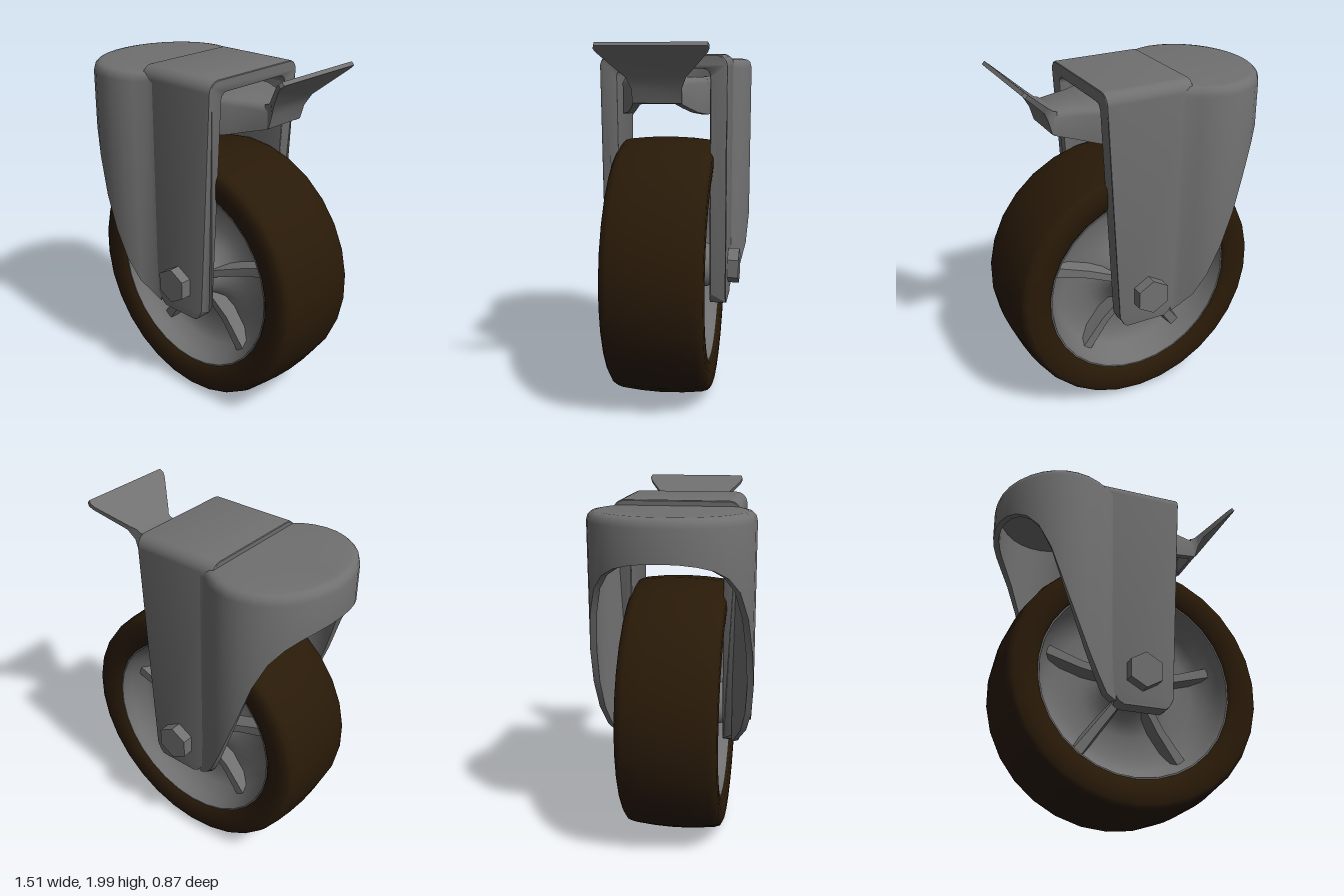
import * as THREE from 'three';
import { toCreasedNormals } from 'three/addons/utils/BufferGeometryUtils.js';

const steel = new THREE.MeshStandardMaterial({ color: 0x707070 });
const steelDouble = new THREE.MeshStandardMaterial({ color: 0x707070, side: THREE.DoubleSide });
const rubber = new THREE.MeshStandardMaterial({ color: 0x291a08 });

const WX = 0.02, WY = 0.745; // wheel centre

function add(parent, name, geometry, material = steel, crease = 0.6) {
  const mesh = new THREE.Mesh(toCreasedNormals(geometry, crease), material);
  mesh.name = name;
  parent.add(mesh);
  return mesh;
}

// Piecewise linear lookup in a list of [input, output] pairs
function lookup(table, v) {
  if (v <= table[0][0]) return table[0][1];
  for (let i = 1; i < table.length; i++) {
    const [a, fa] = table[i - 1], [b, fb] = table[i];
    if (v <= b) return fa + (fb - fa) * (v - a) / (b - a);
  }
  return table[table.length - 1][1];
}

// Skin a row of closed rings, each a list of [x, y, z]
function loft(rings, caps = false) {
  const n = rings[0].length, index = [];
  for (let i = 0; i < rings.length - 1; i++) {
    for (let j = 0; j < n; j++) {
      const a = i * n + j, c = i * n + (j + 1) % n;
      index.push(a, a + n, c + n, a, c + n, c);
    }
  }
  if (caps) {
    const e = (rings.length - 1) * n;
    for (let j = 1; j < n - 1; j++) index.push(0, j, j + 1, e, e + j + 1, e + j);
  }
  const g = new THREE.BufferGeometry();
  g.setAttribute('position', new THREE.Float32BufferAttribute(rings.flat(2), 3));
  g.setIndex(index);
  return g;
}

// Lathe around z from [radius, z] points
function latheZ(points, segments) {
  return new THREE.LatheGeometry(points.map(p => new THREE.Vector2(...p)), segments).rotateX(Math.PI / 2);
}

function makeWheel() {
  const wheel = new THREE.Group();
  wheel.name = 'wheel';
  wheel.position.set(WX, WY, 0);

  // Tyre with a slightly crowned tread
  const half = [[0.548, 0.24], [0.57, 0.262], [0.64, 0.27], [0.69, 0.268], [0.712, 0.255], [0.722, 0.225], [0.733, 0.12]];
  const tyre = [...half.map(([r, z]) => [r, -z]), [0.738, 0], ...half.slice().reverse(), [0.548, -0.24]];
  add(wheel, 'tyre', latheZ(tyre, 30), rubber, 0.9);

  // Dished rim, web and hub in one profile
  const dish = [[0, 0.26], [0.1, 0.26], [0.118, 0.245], [0.14, 0.16], [0.19, 0.1], [0.27, 0.075], [0.4, 0.075], [0.475, 0.105], [0.525, 0.19], [0.545, 0.247], [0.553, 0.247]];
  add(wheel, 'rim', latheZ([...dish.map(([r, z]) => [r, -z]), ...dish.slice().reverse()], 30), steel, 0.7);

  // Five tapered ribs on each face
  for (const side of [1, -1]) {
    for (let k = 0; k < 5; k++) {
      const rings = [[0.1, 0.2, 0.02], [0.3, 0.155, 0.022], [0.525, 0.15, 0.028]].map(([r, z, w]) => [
        [r, w, z], [r, w + 0.018, 0.05], [r, -w - 0.018, 0.05], [r, -w, z],
      ]);
      const rib = add(wheel, 'rib', loft(rings, true), steelDouble, 0.4);
      rib.rotation.set(side > 0 ? 0 : Math.PI, 0, side * (Math.PI / 10 + k * Math.PI * 0.4));
    }
  }
  return wheel;
}

// U-shaped bracket, extruded across x and tapered towards the foot
function makeBracket() {
  const s = new THREE.Shape(), o = 0.342, n = 0.25, top = 1.94, under = 1.865;
  const steps = [0.558, 0.575, 0.62];
  s.moveTo(o, steps[0]);
  for (const y of steps.slice(1)) s.lineTo(o, y);
  s.absarc(o - 0.065, top - 0.065, 0.065, 0, Math.PI / 2, false);
  s.absarc(-o + 0.065, top - 0.065, 0.065, Math.PI / 2, Math.PI, false);
  for (const y of [...steps].reverse()) s.lineTo(-o, y);
  for (const y of steps) s.lineTo(-n, y);
  s.absarc(-n + 0.04, under - 0.04, 0.04, Math.PI, Math.PI / 2, true);
  s.absarc(n - 0.04, under - 0.04, 0.04, Math.PI / 2, 0, true);
  for (const y of [...steps].reverse()) s.lineTo(n, y);
  const g = new THREE.ExtrudeGeometry(s, {
    depth: 0.96, curveSegments: 5, bevelThickness: 0.02, bevelSize: 0.006, bevelOffset: -0.006, bevelSegments: 2,
  }).translate(0, 0, -0.48).rotateY(Math.PI / 2);
  const left = [[0.56, -0.09], [0.58, -0.125], [0.62, -0.145], [1.94, -0.23]];
  const right = [[0.56, 0.155], [0.58, 0.18], [0.62, 0.197], [1.1, 0.222], [1.94, 0.268]];
  const p = g.attributes.position;
  for (let i = 0; i < p.count; i++) {
    const y = p.getY(i);
    p.setX(i, THREE.MathUtils.lerp(lookup(left, y), lookup(right, y), p.getX(i) + 0.5));
  }
  return g;
}

// Rounded swivel housing: elliptical wall, roofed, with its lower edge swept down to the axle
function makeHousing() {
  const edge = [[-0.76, 1.695], [-0.74, 1.685], [-0.67, 1.64], [-0.6, 1.55], [-0.55, 1.45], [-0.49, 1.28],
    [-0.45, 1.15], [-0.4, 1.02], [-0.35, 0.89], [-0.3, 0.78], [-0.25, 0.69], [-0.2, 0.615], [-0.14, 0.57]];
  const rings = [], count = 24, start = 0.72;
  for (let i = 0; i <= count; i++) {
    const t = start + (2 * Math.PI - 2 * start) * i / count;
    const point = (inset, y) => {
      const x = -0.4 + (0.36 - inset) * Math.cos(t), z = (0.435 - inset) * Math.sin(t);
      // run flush into the bracket legs
      return [x, y, x > -0.3 ? Math.sign(z) * Math.max(Math.abs(z), 0.339 - inset) : z];
    };
    const y = lookup(edge, point(0, 0)[0]);
    const roof = point(0.05, 1.91), inner = point(0.035, 1.86);
    rings.push([
      [roof[0], 1.91, 0], roof, point(0.024, 1.905), point(0.008, 1.89), point(0, 1.86),
      point(0, y), point(0.035, y), inner, [inner[0], 1.86, 0],
    ]);
  }
  return loft(rings);
}

// Brake arm: a channel open underneath, narrowing outwards
function makeArm() {
  const t = 0.035;
  return loft([[0, 0.25, 1.62, 1.82], [0.18, 0.235, 1.62, 1.82], [0.26, 0.19, 1.635, 1.82], [0.36, 0.155, 1.663, 1.82], [0.46, 0.128, 1.69, 1.815]]
    .map(([x, z, lo, hi]) => [
      [x, hi, z - 0.03], [x, hi, -z + 0.03], [x, hi - 0.012, -z + 0.01], [x, hi - 0.035, -z], [x, lo, -z], [x, lo, -z + t],
      [x, hi - t, -z + 0.01 + t], [x, hi - t, z - 0.01 - t], [x, lo, z - t], [x, lo, z], [x, hi - 0.035, z], [x, hi - 0.012, z - 0.01],
    ]));
}

// Flared foot pedal: [top x, top y, bottom x, bottom y, half width]
function makePedal() {
  return loft([[0.44, 1.815, 0.445, 1.69, 0.127], [0.46, 1.82, 0.468, 1.695, 0.127], [0.475, 1.832, 0.49, 1.77, 0.13],
    [0.5, 1.853, 0.52, 1.828, 0.155], [0.63, 1.968, 0.645, 1.95, 0.275], [0.65, 1.985, 0.665, 1.968, 0.285], [0.666, 2.0, 0.68, 1.983, 0.278]]
    .map(([tx, ty, bx, by, z]) => [[tx, ty, z], [tx, ty, -z], [bx, by, -z], [bx, by, z]]), true);
}

export function createModel() {
  const model = new THREE.Group();
  model.name = 'casterWheel';
  model.add(makeWheel());

  const fork = new THREE.Group();
  fork.name = 'fork';
  model.add(fork);
  add(fork, 'bracket', makeBracket());
  add(fork, 'swivelHousing', makeHousing(), steelDouble, 0.7);

  // Axle with a hexagonal head on each end
  const axle = add(fork, 'axle', new THREE.CylinderGeometry(0.05, 0.05, 0.66, 16).rotateX(Math.PI / 2));
  axle.position.set(WX, WY, 0);
  for (const side of [1, -1]) {
    const bolt = add(fork, 'axleBolt', new THREE.CylinderGeometry(0.102, 0.102, 0.075, 6).rotateX(Math.PI / 2));
    bolt.position.set(WX, WY, side * 0.367);
  }

  const brake = new THREE.Group();
  brake.name = 'brake';
  model.add(brake);
  add(brake, 'brakeArm', makeArm(), steelDouble, 0.8);
  add(brake, 'brakePedal', makePedal(), steelDouble);
  return model;
}
